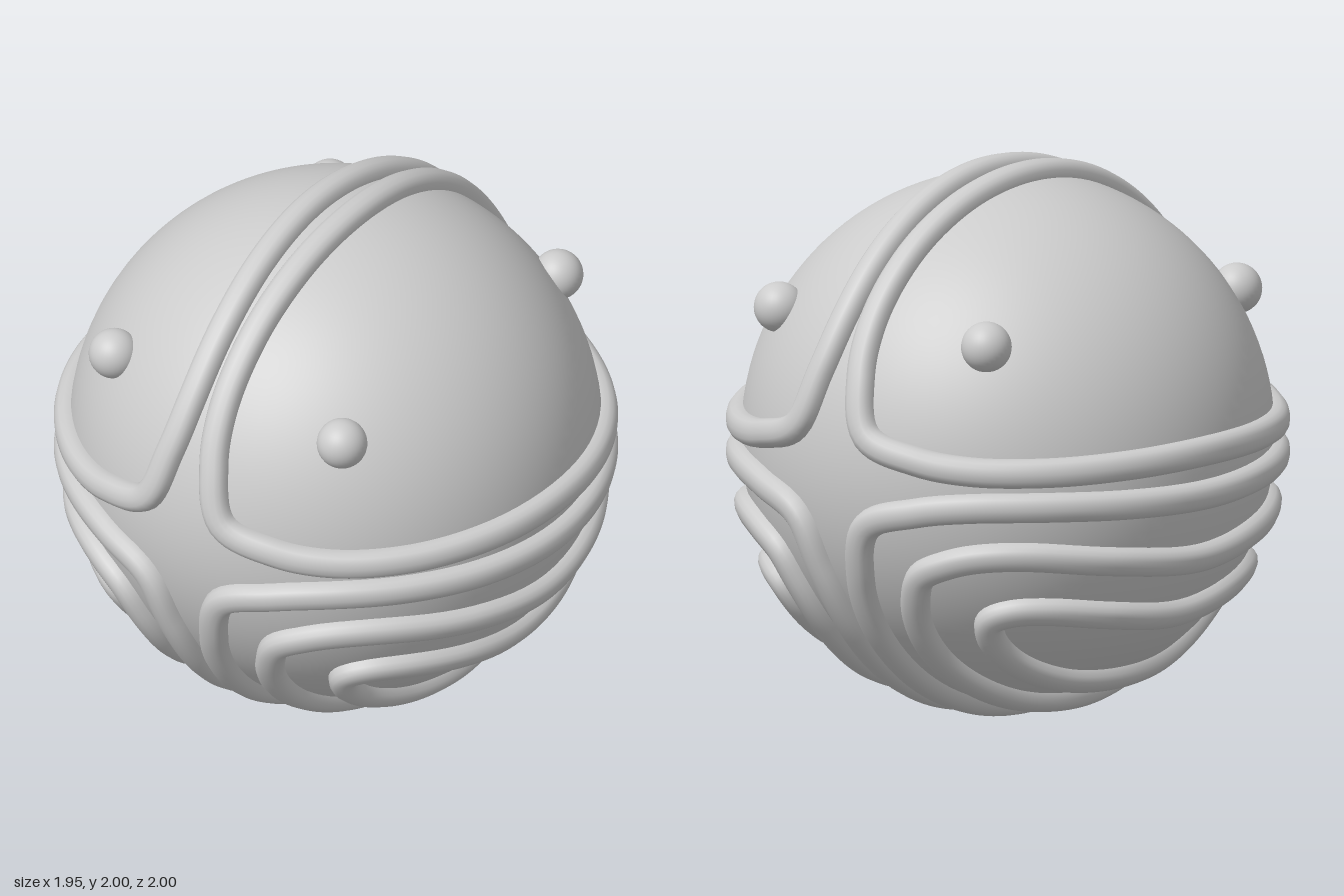
import * as THREE from 'three';

const R = 0.945;          // ball radius
const HALF_WIDTH = 0.053; // ridge half width along the surface
const HALF_HEIGHT = 0.056; // ridge height above the surface

const material = new THREE.MeshStandardMaterial({ color: 0xcccccc });

// Quarter outline of each loop as [x, y] on the ball, from the middle to the corner.
const OUTER = [[0, 0.078], [0.35, 0.07], [0.6, 0.062], [0.78, 0.066], [0.87, 0.092], [0.917, 0.161]];
const MIDDLE = [[0, 0.315], [0.35, 0.28], [0.62, 0.245], [0.74, 0.252], [0.795, 0.282], [0.82, 0.332]];
const INNER = [[0, 0.525], [0.3, 0.49], [0.5, 0.46], [0.6, 0.463], [0.635, 0.495]];

// Mirrors a quarter outline over y = z and x = 0 into a closed curve on the ball.
function loopCurve(quarter) {
  const a = quarter.map(([x, y]) => new THREE.Vector3(x, y, Math.sqrt(R * R - x * x - y * y)));
  const b = a.slice(0, -1).reverse().map((p) => new THREE.Vector3(p.x, p.z, p.y));
  const side = [...a, ...b];
  const other = side.slice(1, -1).reverse().map((p) => new THREE.Vector3(-p.x, p.y, p.z));
  return new THREE.CatmullRomCurve3([...side, ...other], true, 'centripetal');
}

// Sweeps a softly squared cross-section along the curve, kept upright to the ball.
function ridgeGeometry(curve, steps = 200, sides = 16) {
  const positions = [];
  const indices = [];
  const soft = (v) => Math.sign(v) * Math.abs(v) ** 0.85;
  for (let i = 0; i < steps; i++) {
    const out = curve.getPointAt(i / steps).normalize();
    const across = curve.getTangentAt(i / steps).cross(out).normalize();
    for (let j = 0; j < sides; j++) {
      const t = (j / sides) * Math.PI * 2;
      const p = out.clone().multiplyScalar(R + HALF_HEIGHT * soft(Math.sin(t)));
      p.addScaledVector(across, HALF_WIDTH * soft(Math.cos(t)));
      positions.push(p.x, p.y, p.z);
      const i2 = (i + 1) % steps;
      const j2 = (j + 1) % sides;
      const q = [i * sides + j, i2 * sides + j, i * sides + j2, i2 * sides + j2];
      indices.push(q[0], q[1], q[2], q[2], q[1], q[3]);
    }
  }
  const geometry = new THREE.BufferGeometry();
  geometry.setAttribute('position', new THREE.Float32BufferAttribute(positions, 3));
  geometry.setIndex(indices);
  geometry.computeVertexNormals();
  return geometry;
}

export function createModel() {
  const model = new THREE.Group();
  model.name = 'ridgedBall';
  const add = (name, geometry) => {
    const mesh = new THREE.Mesh(geometry, material);
    mesh.name = name;
    mesh.position.y = 1;
    model.add(mesh);
    return mesh;
  };

  // Ball
  add('ball', new THREE.SphereGeometry(R, 96, 64));

  // Border ridge round each of the four panels; nested ridges on the lower two
  const outer = ridgeGeometry(loopCurve(OUTER));
  const nested = [MIDDLE, INNER].map((q) => ridgeGeometry(loopCurve(q)));
  const panels = ['upperFront', 'lowerFront', 'lowerBack', 'upperBack'];
  panels.forEach((panel, k) => {
    const turn = (k * Math.PI) / 2;
    add(panel + 'BorderRidge', outer).rotation.x = turn;
    if (panel.startsWith('lower')) {
      add(panel + 'MiddleRidge', nested[0]).rotation.x = turn;
      add(panel + 'InnerRidge', nested[1]).rotation.x = turn;
    }
  });

  // Round studs on the upper panels
  const stud = new THREE.SphereGeometry(0.09, 32, 24);
  for (const x of [1, -1]) {
    for (const z of [1, -1]) {
      const name = (z > 0 ? 'front' : 'back') + (x > 0 ? 'Left' : 'Right') + 'Stud';
      add(name, stud).position.set(x * 0.66, 1.495, z * 0.495);
    }
  }
  return model;
}
